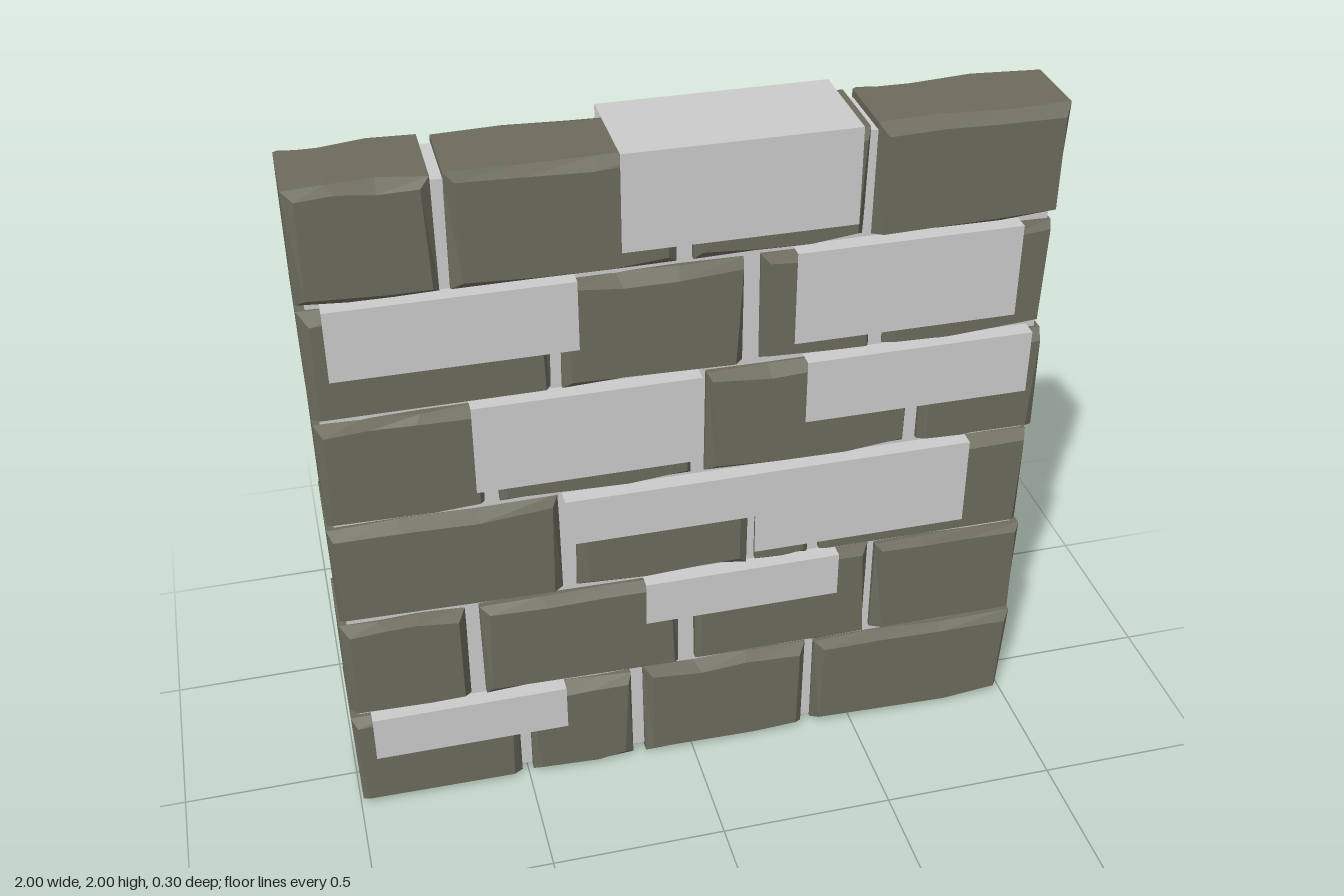
import * as THREE from 'three';

// Small seeded random, returns -1..1
let seed = 7;
function jitter(amount) {
  seed = (seed * 16807) % 2147483647;
  return ((seed / 2147483647) * 2 - 1) * amount;
}

const stone = new THREE.MeshStandardMaterial({ color: 0x6c6b5d, flatShading: true });
const grey = new THREE.MeshStandardMaterial({ color: 0xcccccc, flatShading: true });
const sheet = new THREE.MeshStandardMaterial({ color: 0xcccccc, flatShading: true, side: THREE.DoubleSide });

// Outline of a worn block, counter-clockwise, with a wavy top and bottom
function outline(x0, x1, y0, y1, inset, wobble) {
  const l = x0 + inset, r = x1 - inset, b = y0 + inset, t = y1 - inset;
  const at = (f) => l + (r - l) * f;
  const points = [[l, b], [at(0.35), b], [at(0.7), b], [r, b], [r, t], [at(0.65), t], [at(0.3), t], [l, t]];
  return points.map(([x, y]) => [
    x + Math.sign((x0 + x1) / 2 - x) * Math.abs(jitter(wobble)),
    y + Math.sign((y0 + y1) / 2 - y) * Math.abs(jitter(wobble)),
  ]);
}

// Chipped block: four outlines stacked through the wall's depth, closed by flat faces
function blockGeometry(x0, x1, y0, y1) {
  const full = outline(x0, x1, y0, y1, 0, 0.008);
  const loops = [
    [-0.14, outline(x0, x1, y0, y1, 0.015, 0.018), 0],
    [-0.108, full, 0.014],
    [0.108, full, 0.014],
    [0.14, outline(x0, x1, y0, y1, 0.015, 0.018), 0],
  ];
  const n = full.length, pos = [], idx = [];
  for (const [z, loop, wobble] of loops) {
    for (const [x, y] of loop) pos.push(x, y, z + jitter(wobble));
  }
  for (let i = 0; i < 3; i++) {
    for (let j = 0; j < n; j++) {
      const a = i * n + j, b = i * n + ((j + 1) % n);
      idx.push(a, b, b + n, a, b + n, a + n);
    }
  }
  for (let j = 1; j < n - 1; j++) {
    idx.push(0, j + 1, j, 3 * n, 3 * n + j, 3 * n + j + 1);
  }
  const geo = new THREE.BufferGeometry();
  geo.setAttribute('position', new THREE.Float32BufferAttribute(pos, 3));
  geo.setIndex(idx);
  const flat = geo.toNonIndexed();
  flat.computeVertexNormals();
  return flat;
}

// Open-ended cover folded over a course: front, top and back
function coverGeometry(x0, x1, y0, y1) {
  const d = 0.148;
  const section = [[y0, d], [y1, d], [y1, -d], [y0, -d]];
  const pos = [], idx = [];
  for (const [y, z] of section) pos.push(x0, y, z, x1, y, z);
  for (let i = 0; i < 3; i++) {
    const a = i * 2;
    idx.push(a, a + 1, a + 3, a, a + 3, a + 2);
  }
  const geo = new THREE.BufferGeometry();
  geo.setAttribute('position', new THREE.Float32BufferAttribute(pos, 3));
  geo.setIndex(idx);
  const flat = geo.toNonIndexed();
  flat.computeVertexNormals();
  return flat;
}

export function createModel() {
  seed = 7;
  const wall = new THREE.Group();
  wall.name = 'brickWall';
  const add = (parent, name, geo, mat) => {
    const mesh = new THREE.Mesh(geo, mat);
    mesh.name = name;
    parent.add(mesh);
    return mesh;
  };

  // Mortar core filling the joints
  add(wall, 'mortar', new THREE.BoxGeometry(1.95, 1.95, 0.2), grey).position.y = 0.99;

  // Courses from the ground up: left and right end of each block
  const courses = [
    [[-1, -0.515], [-0.49, -0.175], [-0.145, 0.355], [0.375, 1]],
    [[-1, -0.645], [-0.61, -0.035], [0.005, 0.535], [0.55, 1]],
    [[-1, -0.365], [-0.33, 0.165], [0.185, 0.345], [0.375, 0.99]],
    [[-1, -0.565], [-0.535, 0], [0.035, 0.615], [0.645, 0.995]],
    [[-1, -0.37], [-0.35, 0.145], [0.18, 0.495], [0.525, 0.985]],
    [[-1, -0.645], [-0.62, -0.035], [0, 0.46], [0.48, 1]],
  ];
  courses.forEach((blocks, row) => {
    const course = new THREE.Group();
    course.name = `course${row + 1}`;
    const y0 = row * 0.3335, y1 = y0 + 0.322;
    blocks.forEach(([x0, x1], i) => add(course, `brick${i + 1}`, blockGeometry(x0, x1, y0, y1), stone));
    wall.add(course);
  });

  // Plain covers hanging over the blocks: x0, x1, y0, y1
  const covers = [
    [-0.94, -0.38, 0.18, 0.325],
    [-0.14, 0.43, 0.52, 0.66],
    [-0.36, 0.24, 0.845, 0.99],
    [0.175, 0.8, 0.72, 0.991],
    [-0.595, 0.02, 1.065, 1.33],
    [0.31, 0.95, 1.14, 1.33],
    [-0.94, -0.305, 1.465, 1.665],
    [0.27, 0.89, 1.395, 1.665],
    [-0.19, 0.43, 1.73, 2],
  ];
  covers.forEach((c, i) => add(wall, `cover${i + 1}`, coverGeometry(...c), sheet));
  return wall;
}
